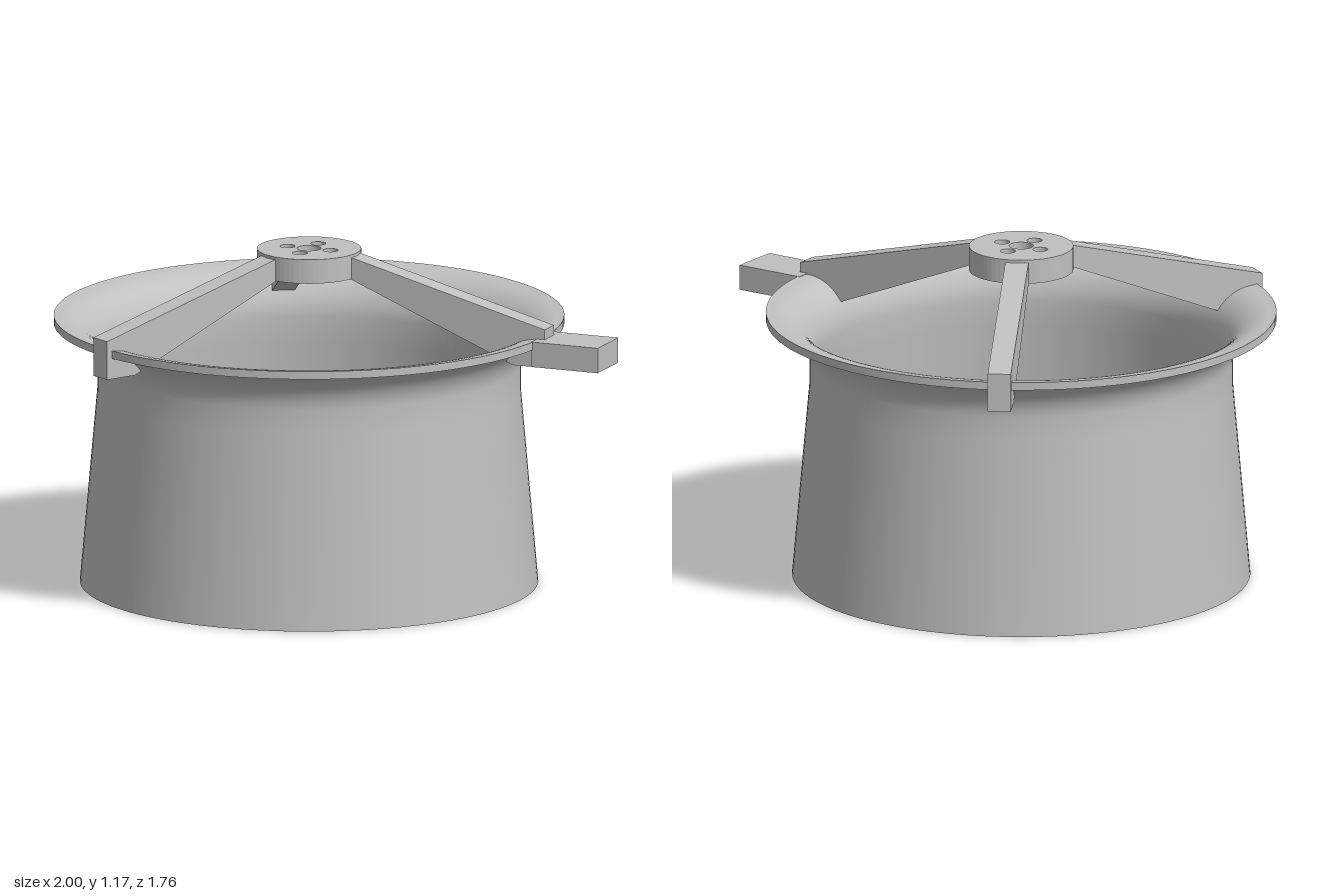
import * as THREE from 'three';

const CX = -0.12; // the duct axis sits left of centre because of the side tab

export function createModel() {
  const model = new THREE.Group();
  const grey = new THREE.MeshStandardMaterial({ color: 0xc0c0c0 });
  grey.name = 'grey';

  const add = (parent, name, geometry) => {
    const mesh = new THREE.Mesh(geometry, grey);
    mesh.name = name;
    parent.add(mesh);
    return mesh;
  };

  const assembly = new THREE.Group();
  assembly.name = 'ductAssembly';
  assembly.position.x = CX;
  model.add(assembly);

  // Duct: one lathe per smooth surface, so the edges between them stay sharp
  const v = (x, y) => new THREE.Vector2(x, y);
  const flare = (radius) => {
    const points = [];
    for (let i = 0; i <= 16; i++) {
      const a = (i / 16) * Math.PI / 2;
      points.push(v(0.87 - radius * Math.cos(a), 0.77 + radius * Math.sin(a)));
    }
    return points;
  };
  const duct = new THREE.Group();
  duct.name = 'duct';
  assembly.add(duct);
  const surfaces = {
    outerWall: [v(0.79, 0), v(0.73, 0.68), ...flare(0.14), v(0.88, 0.912)],
    rimEdge: [v(0.88, 0.912), v(0.88, 0.94)],
    innerWall: [v(0.88, 0.94), ...flare(0.167).reverse(), v(0.703, 0.68), v(0.765, 0)],
    bottomEdge: [v(0.765, 0), v(0.79, 0)],
  };
  for (const [name, points] of Object.entries(surfaces)) {
    add(duct, name, new THREE.LatheGeometry(points, 128));
  }

  // Hub disc with a centre bore and four mounting holes
  const disc = new THREE.Shape().absarc(0, 0, 0.18, 0, Math.PI * 2);
  const drill = (x, y, r) =>
    disc.holes.push(new THREE.Path().absarc(x, y, r, 0, Math.PI * 2, true));
  drill(0, 0, 0.042);
  for (let i = 0; i < 4; i++) {
    const a = i * Math.PI / 2;
    drill(0.08 * Math.cos(a), 0.08 * Math.sin(a), 0.026);
  }
  const hub = new THREE.ExtrudeGeometry(disc, { depth: 0.085, bevelEnabled: false, curveSegments: 32 });
  hub.rotateX(-Math.PI / 2);
  hub.translate(0, 1.09, 0);
  add(assembly, 'hub', hub);

  // Three sloping arms that pass through the flare and hook under the rim
  const profile = new THREE.Shape([
    v(0.15, 1.098), v(0.78, 0.84), v(0.9, 0.84), v(0.9, 0.975), v(0.15, 1.172),
  ]);
  const arm = new THREE.ExtrudeGeometry(profile, { depth: 0.08, bevelEnabled: false });
  arm.translate(0, 0, -0.04);
  for (let i = 0; i < 3; i++) {
    add(assembly, 'arm' + (i + 1), arm).rotation.y = i * Math.PI * 2 / 3;
  }

  // Mounting tab on the left side of the rim
  const tab = new THREE.BoxGeometry(0.25, 0.088, 0.18);
  tab.translate(0.875, 0.896, 0);
  add(model, 'mountingTab', tab);

  return model;
}
